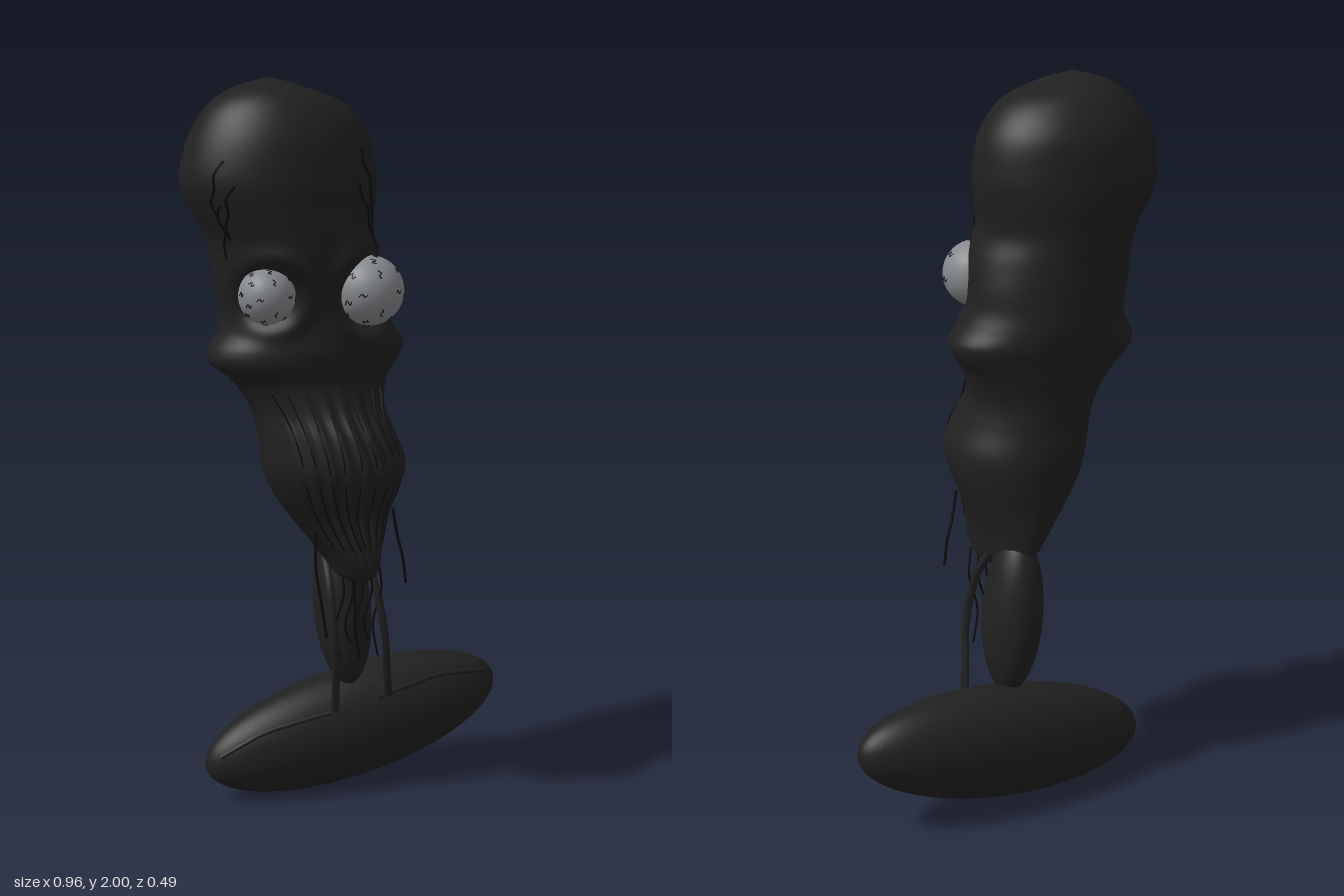
import * as THREE from 'three';

const skin = new THREE.MeshStandardMaterial({ color: 0x202020 });
skin.name = 'charcoal skin';
const ink = new THREE.MeshStandardMaterial({ color: 0x0b0b0b });
ink.name = 'black strands';
const eyeGrey = new THREE.MeshStandardMaterial({ color: 0x85888c });
eyeGrey.name = 'eye grey';

// head cross-sections: height, right edge, left edge, back, front
const ROWS = [
  [2.0, -0.25, -0.25, 0, 0], [1.975, -0.34, -0.16, -0.09, 0.09],
  [1.93, -0.41, -0.05, -0.15, 0.15], [1.85, -0.46, 0.015, -0.2, 0.19],
  [1.75, -0.485, 0.035, -0.215, 0.205], [1.68, -0.465, 0.03, -0.215, 0.205],
  [1.6, -0.42, 0.02, -0.205, 0.205], [1.53, -0.405, 0.045, -0.2, 0.2],
  [1.46, -0.395, 0.06, -0.2, 0.175], [1.4, -0.38, 0.068, -0.2, 0.165],
  [1.355, -0.385, 0.09, -0.2, 0.17], [1.31, -0.415, 0.12, -0.195, 0.175],
  [1.27, -0.415, 0.108, -0.19, 0.17], [1.22, -0.355, 0.075, -0.183, 0.16],
  [1.15, -0.31, 0.055, -0.172, 0.18], [1.08, -0.293, 0.072, -0.17, 0.22],
  [1.0, -0.285, 0.1, -0.175, 0.24], [0.93, -0.262, 0.092, -0.17, 0.215],
  [0.85, -0.21, 0.062, -0.16, 0.182], [0.77, -0.148, 0.035, -0.15, 0.182],
  [0.71, -0.105, 0.022, -0.125, 0.172], [0.67, -0.08, 0.01, -0.03, 0.12],
  [0.645, -0.035, -0.035, 0.03, 0.03],
];
const EYES = [
  { name: 'leftEye', x: -0.03, y: 1.46, z: 0.133, r: 0.091 },
  { name: 'rightEye', x: -0.31, y: 1.46, z: 0.128, r: 0.073 },
];
const spline = (pts) => new THREE.CatmullRomCurve3(pts, false, 'catmullrom', 0.5);
const sides = spline(ROWS.map((r) => new THREE.Vector3(r[1], r[0], r[2])));
const depths = spline(ROWS.map((r) => new THREE.Vector3(r[3], r[0], r[4])));

// point of the head surface; t runs from crown to chin, a is the angle from +x to +z
function headPoint(t, a) {
  const s = sides.getPoint(t), d = depths.getPoint(t);
  const x = (s.x + s.z) / 2 + Math.cos(a) * (s.z - s.x) / 2;
  let z = (d.x + d.z) / 2 + Math.sin(a) * (d.z - d.x) / 2;
  const front = Math.max(0, Math.sin(a));
  for (const e of EYES) { // sockets with raised rims
    const q = Math.hypot(x - e.x, s.y - e.y);
    z += front * (0.02 * Math.exp(-(((q - e.r * 1.3) / 0.028) ** 2)) - 0.05 * Math.exp(-((q / e.r) ** 2)));
  }
  // folds running down the snout
  const fold = THREE.MathUtils.smoothstep(1.25 - s.y, 0, 0.15) * THREE.MathUtils.smoothstep(s.y, 0.66, 0.85);
  z += 0.008 * fold * front ** 3 * Math.sin(a * 26);
  return new THREE.Vector3(x, s.y, z);
}

// head point at a given height
function headAt(y, a, lift = 0.002) {
  let lo = 0, hi = 1;
  for (let i = 0; i < 24; i++) {
    const m = (lo + hi) / 2;
    if (sides.getPoint(m).y > y) lo = m; else hi = m;
  }
  return headPoint(lo, a).add(new THREE.Vector3(Math.cos(a) * lift, 0, Math.sin(a) * lift));
}

function headGeometry(rows = 150, cols = 120) {
  const pos = [], idx = [];
  for (let i = 0; i <= rows; i++)
    for (let j = 0; j < cols; j++) pos.push(...headPoint(i / rows, (j / cols) * Math.PI * 2).toArray());
  for (let i = 0; i < rows; i++)
    for (let j = 0; j < cols; j++) {
      const k = (j + 1) % cols;
      const a = i * cols + j, b = i * cols + k, c = a + cols, d = b + cols;
      idx.push(a, b, c, b, d, c);
    }
  const g = new THREE.BufferGeometry();
  g.setAttribute('position', new THREE.Float32BufferAttribute(pos, 3));
  g.setIndex(idx);
  g.computeVertexNormals();
  return g;
}

export function createModel() {
  const group = new THREE.Group();
  const add = (name, geo, mat, parent = group) => {
    const m = new THREE.Mesh(geo, mat);
    m.name = name;
    parent.add(m);
    return m;
  };
  const strand = (name, pts, r, mat = ink, parent = group) => add(name, new THREE.TubeGeometry(
    new THREE.CatmullRomCurve3(pts.map((p) => (p.isVector3 ? p : new THREE.Vector3(...p)))), 20, r, 6), mat, parent);
  const ellipsoid = (name, c, r, tilt) => {
    const m = add(name, new THREE.SphereGeometry(1, 64, 40), skin);
    m.position.set(...c);
    m.scale.set(...r);
    m.rotation.z = tilt;
    return m;
  };

  add('head', headGeometry(), skin);
  ellipsoid('body', [-0.02, 0.54, -0.078], [0.078, 0.235, 0.1], 0.08);
  ellipsoid('base', [0.03, 0.178, -0.112], [0.4555, 0.163, 0.128], 0.164);

  // bulging eyes with crooked veins
  const rings = [[0.45, 4], [0.95, 7], [1.3, 8]];
  for (const e of EYES) {
    const eye = new THREE.Group();
    eye.name = e.name;
    eye.position.set(e.x, e.y, e.z);
    group.add(eye);
    add('eyeball', new THREE.SphereGeometry(e.r, 40, 28), eyeGrey, eye);
    const onEye = (polar, turn) => new THREE.Vector3(
      Math.sin(polar) * Math.cos(turn), Math.sin(polar) * Math.sin(turn), Math.cos(polar)).multiplyScalar(e.r);
    rings.forEach(([p, n], k) => {
      for (let i = 0; i < n; i++) {
        const a = (i / n) * Math.PI * 2 + k * 0.7;
        strand('eyeVein', [onEye(p, a), onEye(p + 0.09, a + 0.13), onEye(p + 0.15, a - 0.03),
          onEye(p + 0.26, a + 0.1)], 0.0016, ink, eye);
      }
    });
  }

  // temple veins
  for (const [y, a, da] of [[1.82, 0.85, -0.25], [1.74, 0.95, -0.4], [1.7, 0.65, -0.3],
    [1.8, 2.45, 0.2], [1.74, 2.3, 0.35], [1.69, 2.55, 0.25]]) {
    strand('templeVein', [0, 1, 2, 3, 4].map((i) =>
      headAt(y - i * 0.035, a + da * i / 4 + (i % 2) * 0.05, 0)), 0.004);
  }

  // creases of the snout
  for (let i = 0; i < 9; i++) {
    const a = 0.75 + i * 0.205;
    strand('snoutCrease', [0, 1, 2, 3, 4, 5].map((k) =>
      headAt(1.2 - k * 0.085, a + 0.04 * Math.sin(k + i), 0)), 0.0025);
  }

  // loose whiskers
  strand('rightWhisker', [[-0.17, 0.82, 0.1], [-0.172, 0.72, 0.105], [-0.155, 0.62, 0.1], [-0.14, 0.52, 0.1]], 0.004);
  strand('leftWhisker', [[0.055, 0.86, 0.1], [0.07, 0.78, 0.098], [0.085, 0.72, 0.1], [0.095, 0.645, 0.1]], 0.004);
  for (let i = 0; i < 5; i++) {
    const x = -0.08 + i * 0.028;
    strand('chinWhisker', [[x, 0.7, 0.06], [x + 0.012, 0.62, 0.05], [x - 0.006, 0.52, 0.035],
      [x + 0.008, 0.42 + (i % 2) * 0.05, 0.035]], 0.003);
  }
  strand('longWhisker', [[-0.05, 0.74, 0.1], [-0.055, 0.6, 0.095], [-0.045, 0.45, 0.1]], 0.003);

  // thin arms arching down to the base
  strand('rightArm', [[-0.095, 0.71, -0.02], [-0.1, 0.62, 0.03], [-0.092, 0.48, 0.045], [-0.08, 0.36, 0.02], [-0.07, 0.26, -0.01]], 0.012, skin);
  strand('leftArm', [[0.015, 0.71, -0.02], [0.035, 0.62, 0.03], [0.058, 0.48, 0.045], [0.075, 0.38, 0.02], [0.095, 0.28, -0.01]], 0.012, skin);

  // folded limbs lying along the upper front of the base
  const onBase = (u, lat) => {
    const w = Math.sqrt(1 - u * u);
    return new THREE.Vector3(0.4555 * u, 0.163 * w * Math.sin(lat), 0.128 * w * Math.cos(lat))
      .applyAxisAngle(new THREE.Vector3(0, 0, 1), 0.164).add(new THREE.Vector3(0.03, 0.178, -0.112));
  };
  for (const [name, us] of [['rightLimb', [-0.22, -0.45, -0.65, -0.8, -0.92]], ['leftLimb', [0.1, 0.35, 0.55, 0.75, 0.9]]])
    strand(name, us.map((u, i) => onBase(u, 0.72 - 0.05 * Math.abs(i - 2))), 0.007, skin);
  return group;
}
